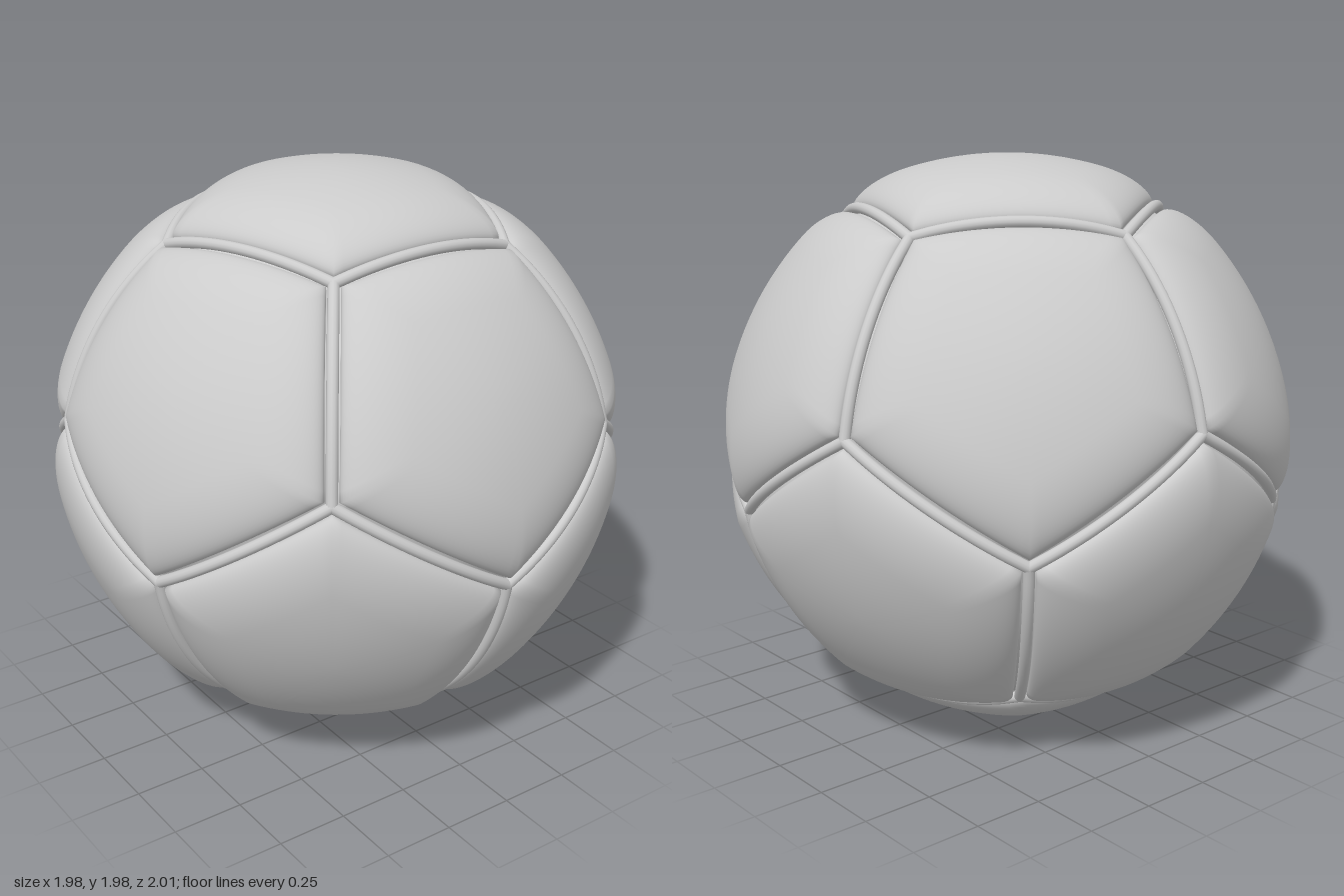
import * as THREE from 'three';

const CENTRE = 0.992;      // radius at the middle of a panel
const SEAM = 0.965;        // radius of the piping centre line
const PIPE = 0.019;        // piping thickness
const GAP = 0.025;         // panel edge to seam line
const ROLL = 0.2;          // width of the rolled panel border
const SIDE_STEPS = 18;

// the twelve panel directions of a dodecahedron, one pointing up
function panelNormals() {
  const list = [new THREE.Vector3(0, 1, 0)];
  for (let i = 0; i < 5; i++) {
    const a = i * Math.PI * 0.4, c = 2 / Math.sqrt(5);
    list.push(new THREE.Vector3(c * Math.sin(a), 1 / Math.sqrt(5), c * Math.cos(a)));
  }
  return list.concat(list.map(n => n.clone().negate()));
}

// neighbours of a panel, counter-clockwise seen from outside
function neighboursOf(n, normals) {
  const near = normals.filter(m => m.dot(n) > 0.4 && m.dot(n) < 0.9);
  const u = near[0].clone().addScaledVector(n, -near[0].dot(n)).normalize();
  const w = new THREE.Vector3().crossVectors(n, u);
  const angle = m => Math.atan2(m.dot(w), m.dot(u));
  return near.sort((a, b) => angle(a) - angle(b));
}

// padded pentagon made of concentric rings
function panelGeometry(n, corners) {
  const rings = [];
  for (let i = 1; i <= 8; i++) rings.push({ e: 0.447 - (0.447 - GAP - ROLL) * i / 8 });
  for (let i = 1; i <= 14; i++) rings.push({ e: GAP + ROLL * (1 - Math.sin(i / 14 * Math.PI / 2)) });
  rings.push({ e: GAP, r: 0.94 }, { e: 0, r: 0.94 });

  const flat = corners.map(c => c.clone().divideScalar(c.dot(n)));
  const pos = n.clone().multiplyScalar(CENTRE).toArray();
  const index = [];
  const count = 5 * SIDE_STEPS;
  const p = new THREE.Vector3();
  rings.forEach(({ e, r }, k) => {
    const q = Math.max(0, 1 - (e - GAP) / ROLL);
    const drop = 0.065 * (1 - Math.sqrt(Math.max(0, 1 - q * q)));
    for (let j = 0; j < count; j++) {
      const s = Math.floor(j / SIDE_STEPS);
      p.lerpVectors(flat[s], flat[(s + 1) % 5], (j % SIDE_STEPS) / SIDE_STEPS);
      p.lerpVectors(n, p, 1 - e / 0.447).normalize();
      const theta = p.angleTo(n);
      p.multiplyScalar(r ?? CENTRE + 0.085 * theta * theta - drop);
      pos.push(p.x, p.y, p.z);
      const b = 1 + k * count + j, b2 = 1 + k * count + (j + 1) % count;
      if (k === 0) index.push(0, b, b2);
      else index.push(b - count, b, b2, b - count, b2, b2 - count);
    }
  });
  const g = new THREE.BufferGeometry();
  g.setAttribute('position', new THREE.Float32BufferAttribute(pos, 3));
  g.setIndex(index);
  g.computeVertexNormals();
  return g;
}

// piping along a great-circle arc
function pipeGeometry(a, b) {
  const points = [];
  for (let i = 0; i <= 8; i++) {
    points.push(new THREE.Vector3().lerpVectors(a, b, i / 8).setLength(SEAM));
  }
  return new THREE.TubeGeometry(new THREE.CatmullRomCurve3(points), 20, PIPE, 12);
}

export function createModel() {
  const ball = new THREE.Group();
  ball.name = 'ball';
  const panels = new THREE.Group(), piping = new THREE.Group();
  panels.name = 'panels';
  piping.name = 'seamPiping';
  ball.add(panels, piping);
  const material = new THREE.MeshStandardMaterial({ color: 0xcccccc });
  const add = (parent, geometry, name) => {
    const mesh = new THREE.Mesh(geometry, material);
    mesh.name = name;
    parent.add(mesh);
    return mesh;
  };

  const normals = panelNormals();
  const joints = new Set();
  const jointGeometry = new THREE.SphereGeometry(PIPE, 14, 10);
  normals.forEach((n, f) => {
    const near = neighboursOf(n, normals);
    const corners = near.map((m, i) => n.clone().add(m).add(near[(i + 1) % 5]).normalize());
    add(panels, panelGeometry(n, corners), 'panel');
    near.forEach((m, i) => {
      // each seam is shared by two panels, so build it once
      if (normals.indexOf(m) > f) add(piping, pipeGeometry(corners[(i + 4) % 5], corners[i]), 'seamPipe');
      // round joint where three seams meet
      const key = corners[i].toArray().map(v => Math.round(v * 100)).join();
      if (!joints.has(key)) {
        joints.add(key);
        add(piping, jointGeometry, 'seamJoint').position.copy(corners[i]).multiplyScalar(SEAM);
      }
    });
  });

  ball.position.y = CENTRE;
  const model = new THREE.Group();
  model.add(ball);
  return model;
}
